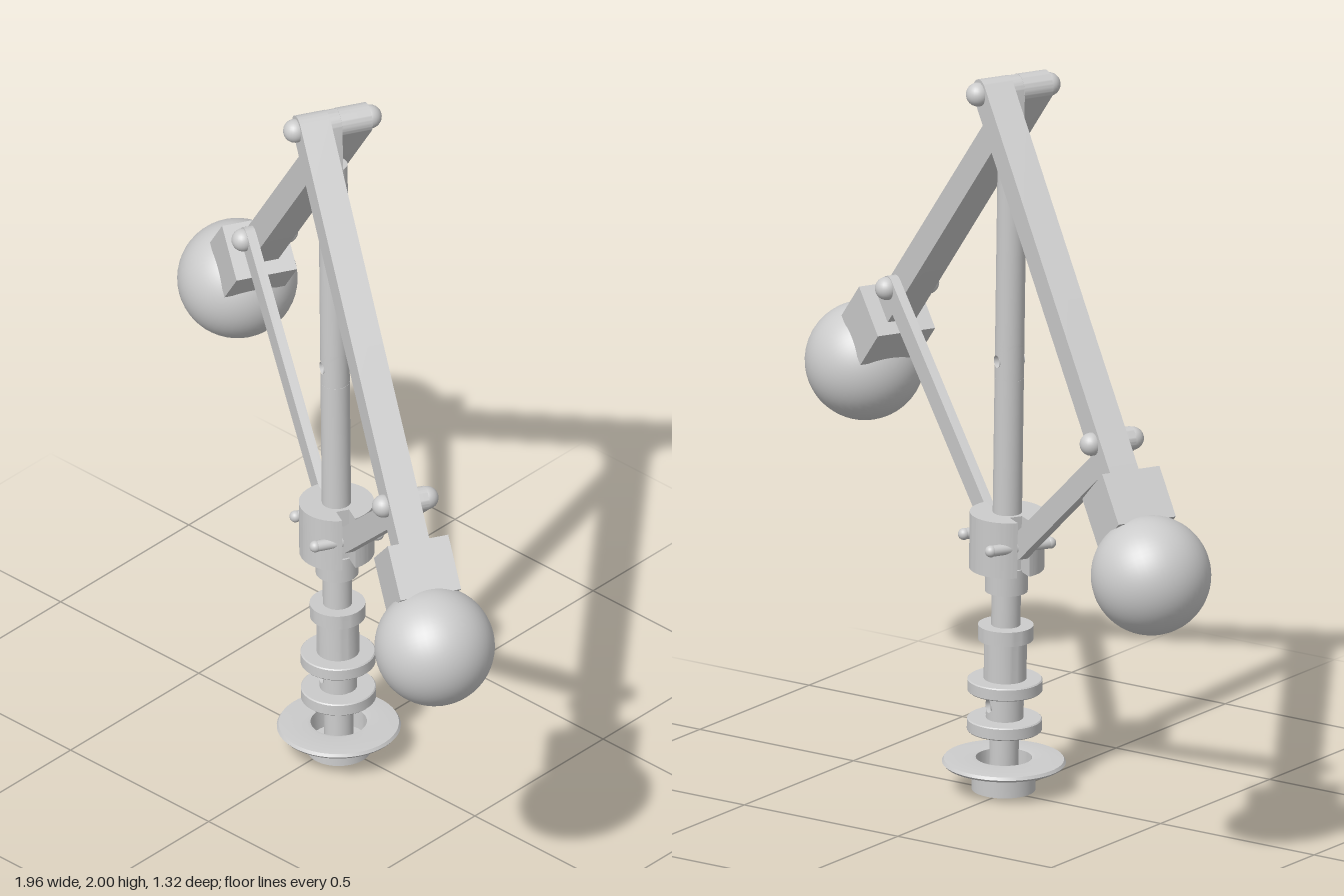
import * as THREE from 'three';
import { toCreasedNormals } from 'three/addons/utils/BufferGeometryUtils.js';

const material = new THREE.MeshStandardMaterial({ color: 0xcccccc });
const doubleSided = new THREE.MeshStandardMaterial({ color: 0xcccccc, side: THREE.DoubleSide });

function add(parent, name, geometry, x = 0, y = 0, z = 0, mat = material) {
  const mesh = new THREE.Mesh(geometry, mat);
  mesh.name = name;
  mesh.position.set(x, y, z);
  parent.add(mesh);
  return mesh;
}

// Turned part from [radius, height] points, listed from the bottom outwards and up
function turned(points) {
  const lathe = new THREE.LatheGeometry(points.map(([r, y]) => new THREE.Vector2(r, y)), 48);
  return toCreasedNormals(lathe, 0.6);
}

function rod(radius, y0, y1) {
  return new THREE.CylinderGeometry(radius, radius, y1 - y0, 40).translate(0, (y0 + y1) / 2, 0);
}

// Flat bar hanging down from the origin, rounded at the top and optionally at the bottom
function bar(halfWidth, length, depth, roundBottom) {
  const s = new THREE.Shape();
  s.absarc(0, 0, halfWidth, 0, Math.PI);
  if (roundBottom) {
    s.absarc(0, -length, halfWidth, Math.PI, 2 * Math.PI);
  } else {
    s.lineTo(-halfWidth, -length);
    s.lineTo(halfWidth, -length);
  }
  s.closePath();
  const g = new THREE.ExtrudeGeometry(s, { depth, bevelEnabled: false, curveSegments: 16 });
  return toCreasedNormals(g.translate(0, 0, -depth / 2), 0.6);
}

// Cross pin along z with a round head at each end
function pin(parent, name, x, y, z0, z1, radius, headRadius) {
  const g = new THREE.Group();
  g.name = name;
  g.position.set(x, y, 0);
  add(g, 'pinRod', new THREE.CylinderGeometry(radius, radius, z1 - z0, 20).rotateX(Math.PI / 2), 0, 0, (z0 + z1) / 2);
  for (const z of [z0, z1]) add(g, 'pinHead', new THREE.SphereGeometry(headRadius, 24, 16), 0, 0, z);
  parent.add(g);
}

// Section of tube wall with a round cross-hole along z
function drilledSection(parent, name, radius, halfHeight, holeRadius, y) {
  const rings = 8, steps = 40, positions = [], normals = [], index = [];
  for (let i = 0; i <= rings; i++) {
    for (let j = 0; j <= steps; j++) {
      const a = (j / steps) * Math.PI * 2, c = Math.cos(a), s = Math.sin(a);
      const m = Math.max(Math.abs(c), Math.abs(s)), t = i / rings;
      const turn = THREE.MathUtils.lerp(Math.asin((holeRadius * c) / radius), ((c / m) * Math.PI) / 2, t);
      const v = THREE.MathUtils.lerp(holeRadius * s, (halfHeight * s) / m, t);
      positions.push(radius * Math.sin(turn), v, radius * Math.cos(turn));
      normals.push(Math.sin(turn), 0, Math.cos(turn));
      if (i < rings && j < steps) {
        const p = i * (steps + 1) + j, q = p + steps + 1;
        index.push(p, q, p + 1, q, q + 1, p + 1);
      }
    }
  }
  const half = new THREE.BufferGeometry();
  half.setAttribute('position', new THREE.Float32BufferAttribute(positions, 3));
  half.setAttribute('normal', new THREE.Float32BufferAttribute(normals, 3));
  half.setIndex(index);
  add(parent, name, half, 0, y, 0);
  add(parent, name, half, 0, y, 0).rotation.y = Math.PI;
  const bore = new THREE.CylinderGeometry(holeRadius, holeRadius, radius * 1.94, 24, 1, true);
  add(parent, name + 'Bore', bore.rotateX(Math.PI / 2), 0, y, 0, doubleSided);
}

// Sliding sleeve with two slots that take the links
function slottedSleeve() {
  const r = 0.1, slot = 0.018, depth = 0.05, a = Math.asin(slot / r);
  const s = new THREE.Shape();
  s.absarc(0, 0, r, a, Math.PI - a);
  s.lineTo(-depth, slot);
  s.lineTo(-depth, -slot);
  s.absarc(0, 0, r, Math.PI + a, 2 * Math.PI - a);
  s.lineTo(depth, -slot);
  s.lineTo(depth, slot);
  s.closePath();
  const g = new THREE.ExtrudeGeometry(s, { depth: 0.155, bevelEnabled: false, curveSegments: 28 });
  return toCreasedNormals(g.rotateX(-Math.PI / 2), 0.6);
}

export function createModel() {
  const model = new THREE.Group();
  model.name = 'centrifugalGovernor';

  // The whole mechanism leans slightly and is turned about its shaft
  const body = new THREE.Group();
  body.name = 'mechanism';
  body.position.set(0.022, 0.003, 0.015);
  const lean = new THREE.Vector3(-0.029, 1, -0.018).normalize();
  body.quaternion.setFromUnitVectors(new THREE.Vector3(0, 1, 0), lean);
  body.quaternion.multiply(new THREE.Quaternion().setFromAxisAngle(new THREE.Vector3(0, 1, 0), -0.488));
  model.add(body);

  // Shaft with cross-hole and flat tang at the top
  add(body, 'lowerShaft', rod(0.039, 0.02, 1.15));
  drilledSection(body, 'drilledShaft', 0.039, 0.05, 0.017, 1.2);
  add(body, 'upperShaft', rod(0.039, 1.25, 1.83));
  add(body, 'shaftTang', bar(0.039, 0.14, 0.03, false), 0, 1.957, 0);

  // Base cup with a thin wide flange
  add(body, 'baseFlange', turned([
    [0, 0], [0.085, 0], [0.085, 0.068], [0.16, 0.07], [0.165, 0.076], [0.16, 0.084],
    [0.085, 0.09], [0.075, 0.088], [0.075, 0.03], [0, 0.03],
  ]));

  // Grooved collar with a drilled neck
  add(body, 'lowerCollar', turned([[0, 0.165], [0.097, 0.165], [0.1, 0.168], [0.1, 0.197], [0.097, 0.2], [0, 0.2]]));
  drilledSection(body, 'collarNeck', 0.05, 0.038, 0.018, 0.237);
  add(body, 'upperCollar', turned([
    [0, 0.275], [0.097, 0.275], [0.1, 0.278], [0.1, 0.307], [0.097, 0.31], [0.057, 0.31],
    [0.057, 0.42], [0.074, 0.42], [0.074, 0.46], [0, 0.46],
  ]));

  // Sliding sleeve
  add(body, 'sleeveNeck', rod(0.057, 0.555, 0.625));
  add(body, 'slidingSleeve', slottedSleeve(), 0, 0.62, 0);

  // Top pivot shared by both arms
  pin(body, 'topPin', 0, 1.957, -0.105, 0.105, 0.02, 0.032);

  // Two identical arms, half a turn apart
  const armAngle = 0.737, offset = 0.057;
  const armPin = new THREE.Vector2(0.694, 1.19), sleevePin = new THREE.Vector2(0.08, 0.7);
  const span = armPin.clone().sub(sleevePin);
  for (const [i, side] of ['left', 'right'].entries()) {
    const half = new THREE.Group();
    half.name = side + 'Linkage';
    half.rotation.y = i * Math.PI;
    body.add(half);

    const arm = new THREE.Group();
    arm.name = side + 'Arm';
    arm.position.set(0, 1.957, offset);
    arm.rotation.z = armAngle;
    half.add(arm);
    add(arm, 'armBar', bar(0.04, 1.2, 0.085, false));
    add(arm, 'ballSocket', new THREE.BoxGeometry(0.155, 0.15, 0.17), 0, -1.23, 0);
    add(arm, 'flyBall', new THREE.SphereGeometry(0.16, 48, 32), 0, -1.43, 0);

    const link = add(half, side + 'Link', bar(0.033, span.length(), 0.026, true), armPin.x, armPin.y, 0);
    link.rotation.z = -Math.atan2(span.x, span.y);
    pin(half, side + 'ArmPin', armPin.x, armPin.y, -0.017, 0.105, 0.02, 0.031);
    pin(half, side + 'SleevePin', sleevePin.x, sleevePin.y, -0.088, 0.088, 0.015, 0.016);
  }
  return model;
}
